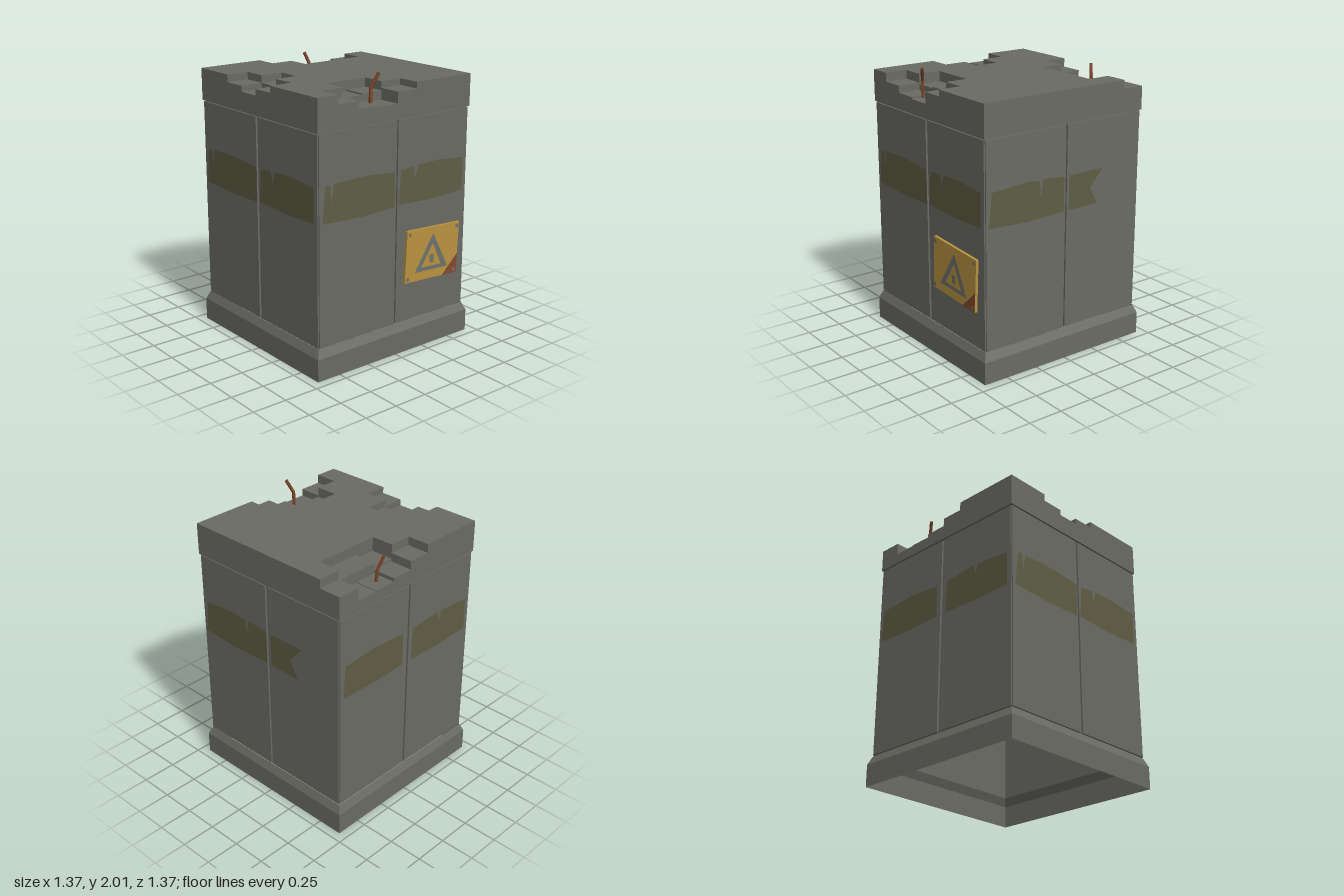
import * as THREE from 'three';

const mat = (name, color) => new THREE.MeshStandardMaterial({ name, color, side: THREE.DoubleSide, flatShading: true });

const toShape = (pts) => new THREE.Shape(pts.map(([x, y]) => new THREE.Vector2(x, y)));

// Hollow square sleeve from a half-width/height profile, open at both ends
function sleeve(profile) {
  const pts = profile.map(([r, y]) => new THREE.Vector2(r * Math.SQRT2, y));
  return new THREE.LatheGeometry(pts, 4, Math.PI / 4).toNonIndexed();
}

// Cap with an 8 x 8 grid of cells, some broken down to a lower height
function capGeometry(half, bottom, top, broken) {
  const n = 8, s = (2 * half) / n, pos = [];
  const at = (i) => -half + i * s;
  const height = (i, j) => (i < 0 || j < 0 || i >= n || j >= n) ? bottom : (broken[`${i},${j}`] ?? top);
  const quad = (a, b, c, d) => pos.push(...a, ...b, ...c, ...a, ...c, ...d);
  for (let i = 0; i < n; i++) for (let j = 0; j < n; j++) {
    const h = height(i, j), x0 = at(i), x1 = at(i + 1), z0 = at(j), z1 = at(j + 1);
    quad([x0, h, z1], [x1, h, z1], [x1, h, z0], [x0, h, z0]);
    // a wall wherever the neighbour is lower
    const sides = [
      [0, 1, x0, z1, x1, z1], [1, 0, x1, z1, x1, z0],
      [0, -1, x1, z0, x0, z0], [-1, 0, x0, z0, x0, z1],
    ];
    for (const [di, dj, ax, az, bx, bz] of sides) {
      const low = height(i + di, j + dj);
      if (low < h) quad([ax, low, az], [bx, low, bz], [bx, h, bz], [ax, h, az]);
    }
  }
  quad([-half, bottom, -half], [half, bottom, -half], [half, bottom, half], [-half, bottom, half]);
  const g = new THREE.BufferGeometry();
  g.setAttribute('position', new THREE.Float32BufferAttribute(pos, 3));
  g.computeVertexNormals();
  return g;
}

export function createModel() {
  const concrete = mat('concrete', 0x6b6b65);
  const olive = mat('faded olive paint', 0x5f5d43);
  const yellow = mat('sign yellow', 0xba9340);
  const steel = mat('sign grey', 0x6e716e);
  const rust = mat('rust', 0x85492d);
  const rebar = mat('rusty rebar', 0x7c4424);

  const model = new THREE.Group();
  model.name = 'concreteBlock';
  const add = (parent, name, geometry, material) => {
    const m = new THREE.Mesh(geometry, material);
    m.name = name;
    parent.add(m);
    return m;
  };

  // Hollow plinth and hollow core
  add(model, 'plinth', sleeve([[0.686, 0], [0.686, 0.16], [0.66, 0.22]]), concrete);
  add(model, 'core', sleeve([[0.65, 0.215], [0.65, 1.685]]), concrete);

  // Chipped cap: key is column,row from the left back corner
  const broken = {
    '1,7': 1.85, '2,7': 1.8, '3,7': 1.787, '4,7': 1.867, '2,6': 1.84, '3,6': 1.85,
    '3,0': 1.85, '4,0': 1.79, '5,0': 1.765, '6,0': 1.76, '7,0': 1.85,
    '4,1': 1.81, '5,1': 1.84, '6,1': 1.84,
    '0,2': 1.86, '0,3': 1.82, '0,4': 1.865, '1,3': 1.86,
  };
  add(model, 'cap', capGeometry(0.667, 1.684, 1.912, broken), concrete);

  // Painted band pieces, in face coordinates
  const leftBand = [[-0.63, 1.085], [-0.605, 1.335], [-0.565, 1.335], [-0.558, 1.21], [-0.533, 1.34],
    [-0.26, 1.345], [-0.013, 1.325], [-0.013, 1.08], [-0.3, 1.07]];
  const rightBand = [[0.02, 1.085], [0.04, 1.325], [0.155, 1.335], [0.17, 1.25], [0.2, 1.34],
    [0.38, 1.345], [0.62, 1.325], [0.62, 1.085], [0.33, 1.075]];
  const notchedBand = [[-0.635, 1.085], [-0.61, 1.325], [-0.33, 1.345], [-0.22, 1.335], [-0.21, 1.21],
    [-0.19, 1.34], [-0.013, 1.325], [-0.013, 1.08], [-0.33, 1.07]];
  const tornBand = [[0.03, 1.08], [0.03, 1.325], [0.325, 1.325], [0.215, 1.2], [0.285, 1.08]];
  const plainBand = [[-0.63, 1.085], [-0.61, 1.325], [-0.33, 1.345], [-0.05, 1.325], [-0.05, 1.085], [-0.33, 1.075]];
  const backBand = [[0.04, 1.085], [0.05, 1.325], [0.31, 1.345], [0.33, 1.27], [0.35, 1.345],
    [0.62, 1.325], [0.62, 1.085], [0.33, 1.075]];

  // Four faces, each with two panels and its band
  const faces = [
    ['front', 0, [leftBand, rightBand]],
    ['right', Math.PI / 2, [notchedBand, tornBand]],
    ['back', Math.PI, [plainBand, backBand]],
    ['left', -Math.PI / 2, [leftBand, rightBand]],
  ];
  for (const [name, angle, bands] of faces) {
    const face = new THREE.Group();
    face.name = `${name}Face`;
    face.rotation.y = angle;
    for (const side of [-1, 1]) {
      const panel = add(face, 'panel', new THREE.BoxGeometry(0.642, 1.446, 0.013), concrete);
      panel.position.set(side * 0.333, 0.952, 0.6565);
    }
    for (const pts of bands) {
      add(face, 'paintBand', new THREE.ShapeGeometry(toShape(pts)), olive).position.z = 0.665;
    }
    model.add(face);
  }

  // Warning sign on the front
  const sign = new THREE.Group();
  sign.name = 'warningSign';
  model.add(sign);
  const plate = toShape([[0.077, 0.51], [0.095, 0.886], [0.59, 0.86], [0.57, 0.483]]);
  add(sign, 'signPlate', new THREE.ExtrudeGeometry(plate, { depth: 0.02, bevelEnabled: false }), yellow).position.z = 0.663;
  const paint = (name, shape, material, z) => {
    add(sign, name, new THREE.ShapeGeometry(shape), material).position.z = z;
  };
  const triangle = toShape([[0.167, 0.568], [0.337, 0.828], [0.48, 0.552]]);
  triangle.holes.push(toShape([[0.228, 0.594], [0.335, 0.753], [0.416, 0.583]]));
  paint('triangle', triangle, steel, 0.685);
  paint('triangleMark', toShape([[0.31, 0.612], [0.305, 0.674], [0.347, 0.671], [0.345, 0.609]]), steel, 0.685);
  paint('rustCorner', toShape([[0.43, 0.49], [0.577, 0.626], [0.57, 0.483]]), rust, 0.685);
  for (const [x, y] of [[0.115, 0.857], [0.566, 0.834], [0.1, 0.535], [0.543, 0.51]]) {
    const r = 0.013;
    paint('screw', toShape([[x - r, y - r], [x - r, y + r], [x + r, y + r], [x + r, y - r]]), steel, 0.687);
  }

  // Bent reinforcing rods in the chipped areas
  const rods = {
    frontRod: [[-0.165, 1.77, 0.58], [-0.163, 1.905, 0.582], [-0.12, 2.0, 0.61]],
    backRod: [[0.24, 1.75, -0.58], [0.232, 1.85, -0.585], [0.2, 1.94, -0.607]],
  };
  for (const [name, pts] of Object.entries(rods)) {
    const v = pts.map((p) => new THREE.Vector3(...p));
    const rod = new THREE.Group();
    rod.name = name;
    for (let k = 0; k < 2; k++) {
      const dir = v[k + 1].clone().sub(v[k]);
      const seg = add(rod, 'rodSegment', new THREE.CylinderGeometry(0.012, 0.012, dir.length(), 6), rebar);
      seg.position.copy(v[k]).addScaledVector(dir, 0.5);
      seg.quaternion.setFromUnitVectors(new THREE.Vector3(0, 1, 0), dir.normalize());
    }
    model.add(rod);
  }
  return model;
}
